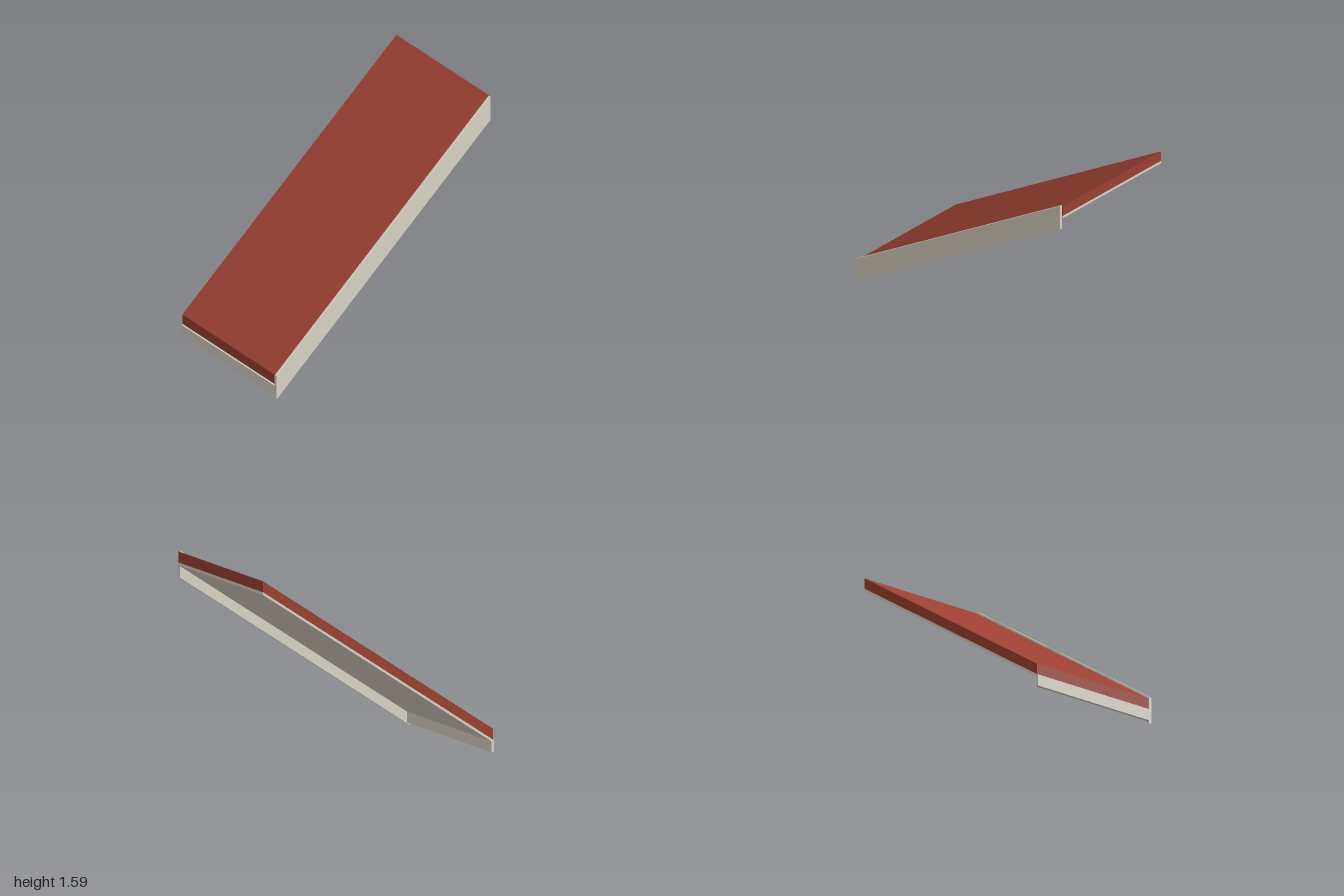
import * as THREE from 'three';

const SLOPE = 0.7; // rise per unit of run towards the back

// Slanted board: plumb-cut ends at zFront and zBack, bottom and top given at the front end
function slantedBoard(name, material, x0, x1, zFront, zBack, bottom, top) {
  const rise = (zFront - zBack) * SLOPE;
  const profile = new THREE.Shape([
    new THREE.Vector2(zFront, bottom),
    new THREE.Vector2(zFront, top),
    new THREE.Vector2(zBack, top + rise),
    new THREE.Vector2(zBack, bottom + rise),
  ]);
  const geometry = new THREE.ExtrudeGeometry(profile, { depth: x1 - x0, bevelEnabled: false });
  geometry.rotateY(-Math.PI / 2); // profile runs along z, thickness along x
  geometry.translate(x1, 0, 0);
  const mesh = new THREE.Mesh(geometry, material);
  mesh.name = name;
  return mesh;
}

export function createModel() {
  const group = new THREE.Group();
  group.name = 'roofPanel';

  const red = new THREE.MeshStandardMaterial({ color: 0x9a4032 });
  red.name = 'roof red';
  const beige = new THREE.MeshStandardMaterial({ color: 0xd8d2c4 });
  beige.name = 'trim beige';

  // Red covering over a thin soffit
  group.add(slantedBoard('roofCovering', red, -0.485, 0.465, 0.99, -1, 0.11, 0.188));
  group.add(slantedBoard('soffit', beige, -0.485, 0.465, 0.99, -1, 0.09, 0.11));

  // Gable trim along one side
  group.add(slantedBoard('gableTrim', beige, 0.465, 0.485, 1, -0.99, 0, 0.195));

  // Fascia under the front edge
  const fascia = new THREE.Mesh(new THREE.BoxGeometry(0.95, 0.085, 0.02), beige);
  fascia.name = 'fascia';
  fascia.position.set(-0.01, 0.0625, 0.99);
  group.add(fascia);

  return group;
}
